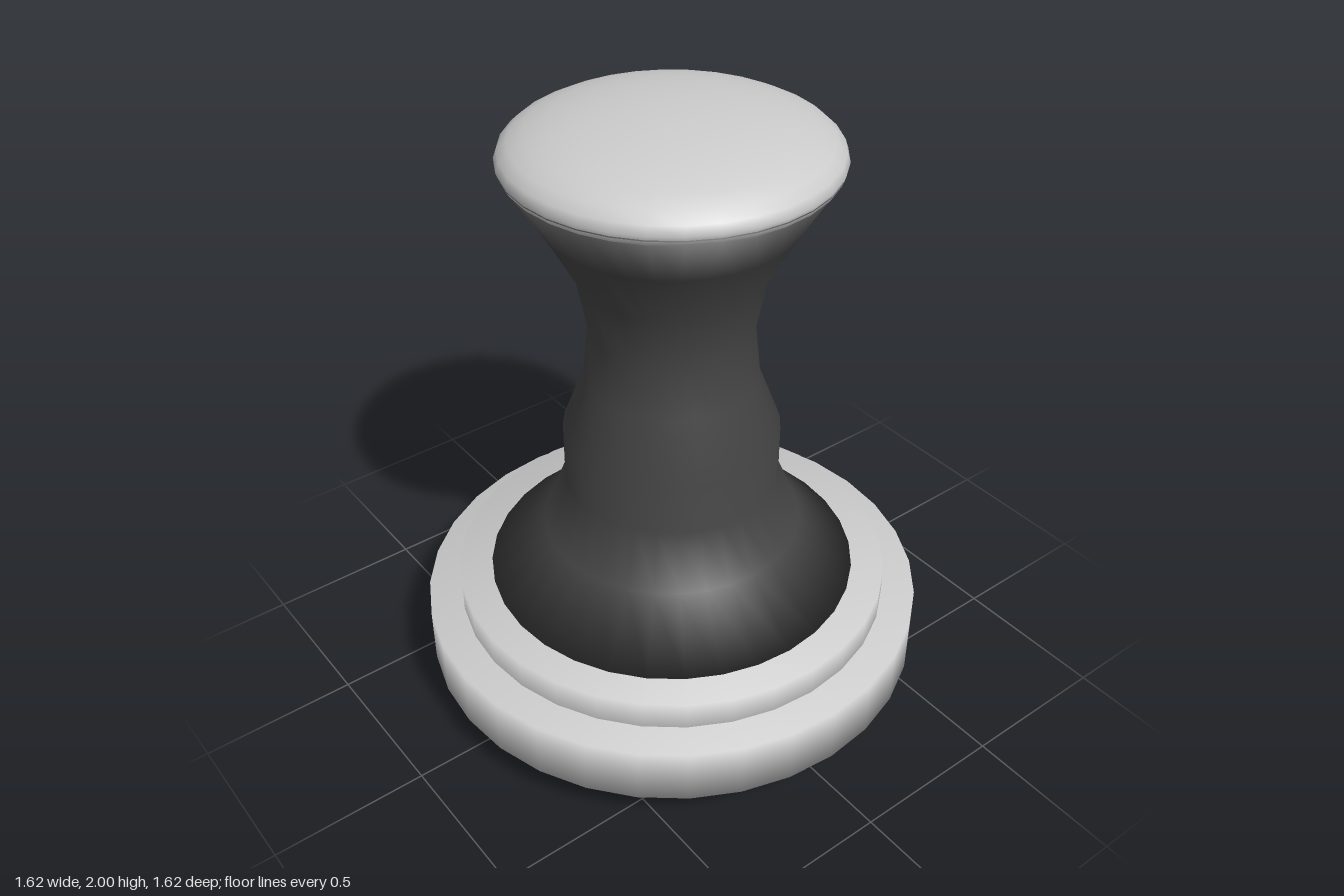
import * as THREE from 'three';
import { mergeVertices } from 'three/addons/utils/BufferGeometryUtils.js';

const SIDES = 32;

export function createModel() {
  const group = new THREE.Group();
  const grey = new THREE.MeshStandardMaterial({ color: 0xcccccc });
  const dark = new THREE.MeshStandardMaterial({ color: 0x444444 });

  // Closed turned solid with soft normals that run over its rims
  function turned(name, profile, material) {
    const points = profile.map(([r, y]) => new THREE.Vector2(r, y));
    let geometry = new THREE.LatheGeometry(points, SIDES);
    geometry.deleteAttribute('normal');
    geometry.deleteAttribute('uv');
    geometry = mergeVertices(geometry, 1e-4);
    geometry.computeVertexNormals();
    const mesh = new THREE.Mesh(geometry, material);
    mesh.name = name;
    group.add(mesh);
  }

  const disc = (name, r, y0, y1) =>
    turned(name, [[0, y0], [r, y0], [r, y1], [0, y1]], grey);

  // Stacked base discs, each sunk into the next
  disc('baseFoot', 0.64, 0, 0.19);
  disc('basePlate', 0.812, 0.13, 0.32);
  disc('baseCollar', 0.703, 0.225, 0.415);

  // Waisted handle
  turned('handle', [
    [0, 0.415], [0.597, 0.415], [0.415, 0.59], [0.341, 0.77], [0.341, 0.95],
    [0.272, 1.13], [0.253, 1.31], [0.287, 1.49], [0.383, 1.67], [0.492, 1.85], [0, 1.85],
  ], dark);

  // Domed cap, a flattened sphere seated in the flared handle
  const cap = new THREE.Mesh(new THREE.SphereGeometry(1, SIDES, 16), grey);
  cap.name = 'cap';
  cap.scale.set(0.495, 0.138, 0.495);
  cap.position.y = 1.862;
  group.add(cap);

  return group;
}
